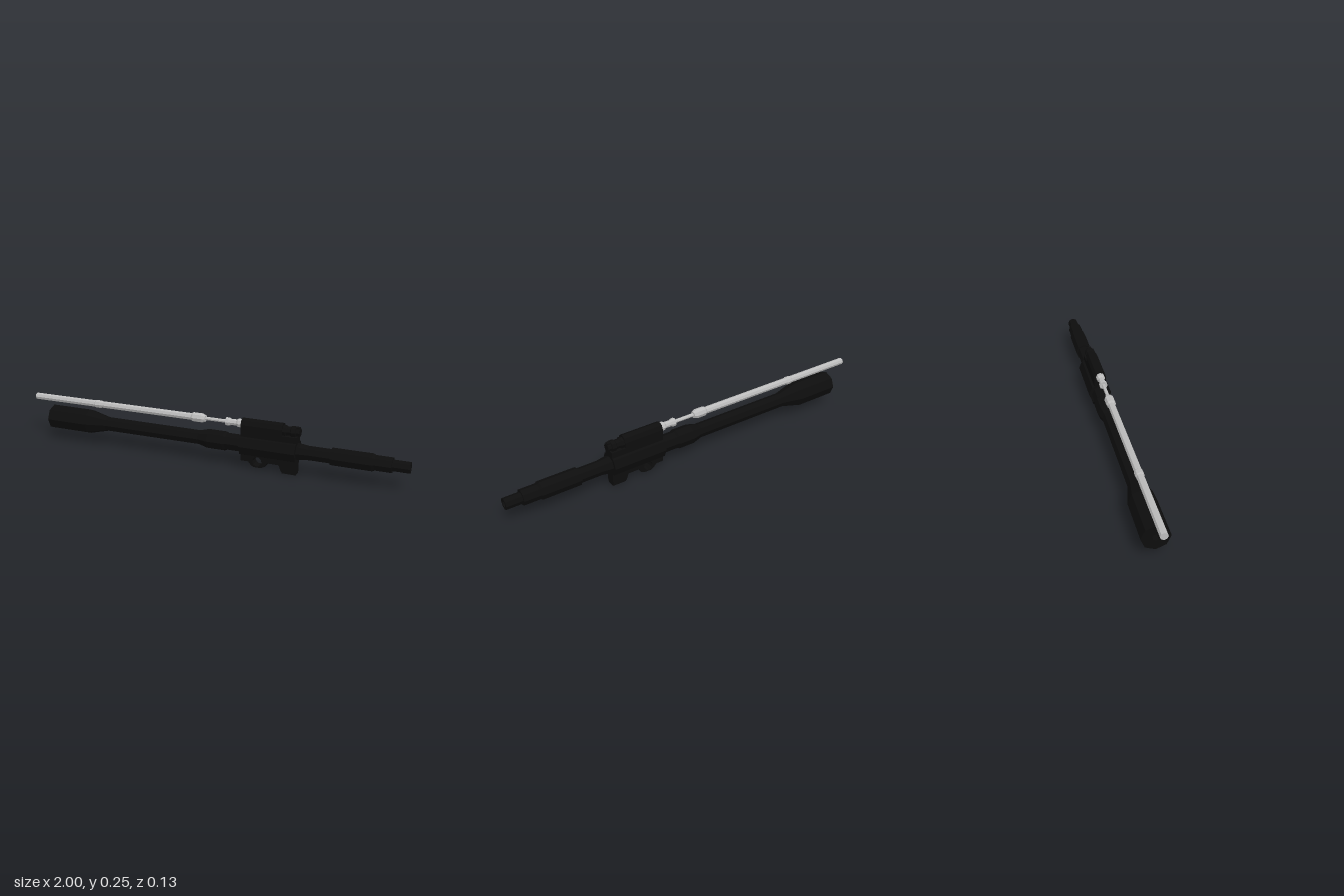
import * as THREE from 'three';

export function createModel() {
  const model = new THREE.Group();
  const black = new THREE.MeshStandardMaterial({ color: 0x0d0d0d, flatShading: true });
  black.name = 'blackSteel';
  const silver = new THREE.MeshStandardMaterial({ color: 0xbcbcbc, flatShading: true });
  silver.name = 'brightSteel';

  const add = (name, geometry, material, x = 0, y = 0, z = 0) => {
    const mesh = new THREE.Mesh(geometry, material);
    mesh.name = name;
    mesh.position.set(x, y, z);
    model.add(mesh);
    return mesh;
  };
  // Eight-sided turned part along x; profile is a list of [x, radius]
  const turned = (name, profile, material, y) => {
    const points = profile.map(([x, r]) => new THREE.Vector2(r, x));
    const mesh = add(name, new THREE.LatheGeometry(points, 8), material, 0, y);
    mesh.rotation.z = -Math.PI / 2;
    return mesh;
  };
  const box = (name, x0, x1, y0, y1, width) =>
    add(name, new THREE.BoxGeometry(x1 - x0, y1 - y0, width), black, (x0 + x1) / 2, (y0 + y1) / 2);

  // Tube with an open bore right through
  const bore = 0.016;
  turned('barrel', [
    [-0.895, bore], [-0.895, 0.065], [-0.67, 0.065], [-0.56, 0.038], [-0.03, 0.037],
    [0.02, 0.05], [0.105, 0.05], [0.115, 0.044], [0.2, 0.044], [0.49, 0.042],
    [0.53, 0.036], [0.64, 0.036], [0.64, 0.044], [0.83, 0.044], [0.84, 0.038],
    [0.92, 0.038], [0.92, 0.028], [1, 0.028], [1, bore], [-0.895, bore],
  ], black, 0.115);

  // Clamp sleeve around the tube
  turned('blockSleeve', [[0.195, 0.04], [0.195, 0.058], [0.475, 0.058], [0.475, 0.04]], black, 0.115);

  // Upper housing with a rounded top
  box('housingSaddle', 0.195, 0.475, 0.14, 0.19, 0.06);
  const section = new THREE.Shape([
    [-0.03, 0.16], [0.03, 0.16], [0.03, 0.217], [0.021, 0.238],
    [0, 0.247], [-0.021, 0.238], [-0.03, 0.217],
  ].map(([z, y]) => new THREE.Vector2(z, y)));
  const housing = new THREE.ExtrudeGeometry(section, { depth: 0.207, bevelEnabled: false });
  housing.rotateY(Math.PI / 2);
  add('upperHousing', housing, black, 0.195);

  // Adjuster at the end of the housing
  turned('adjuster', [
    [0.4, 0], [0.4, 0.028], [0.415, 0.028], [0.42, 0.023], [0.44, 0.023],
    [0.445, 0.028], [0.465, 0.028], [0.468, 0.021], [0.485, 0.021], [0.485, 0],
  ], black, 0.21);
  box('adjusterLever', 0.458, 0.483, 0.205, 0.234, 0.02);

  // Lower lug with a round cross hole
  const lug = new THREE.Shape([
    [0.195, 0.08], [0.195, 0.036], [0.235, 0.036], [0.25, 0.018], [0.265, 0.011],
    [0.3, 0.011], [0.32, 0.02], [0.33, 0.04], [0.39, 0.04], [0.402, 0.009],
    [0.475, 0.009], [0.475, 0.08],
  ].map(([x, y]) => new THREE.Vector2(x, y)));
  const hole = new THREE.Path();
  hole.absarc(0.28, 0.04, 0.024, 0, Math.PI * 2, true);
  lug.holes.push(hole);
  add('lowerLug', new THREE.ExtrudeGeometry(lug, { depth: 0.048, bevelEnabled: false, curveSegments: 5 }),
    black, 0, 0, -0.024);
  box('lugFoot', 0.405, 0.475, 0, 0.012, 0.04);

  // Long rod with collar, shoulder and thin neck
  turned('rod', [
    [-1, 0], [-1, 0.018], [-0.63, 0.018], [-0.625, 0.021], [-0.6, 0.021], [-0.595, 0.018],
    [-0.075, 0.018], [-0.065, 0.024], [-0.02, 0.024], [0, 0.017], [0, 0.009], [0.115, 0.009],
  ], silver, 0.217);

  // Cup joining the rod to the housing
  turned('rodCup', [
    [0.11, 0], [0.11, 0.021], [0.125, 0.021], [0.135, 0.016], [0.165, 0.016],
    [0.175, 0.022], [0.2, 0.022], [0.2, 0],
  ], silver, 0.217);

  return model;
}
